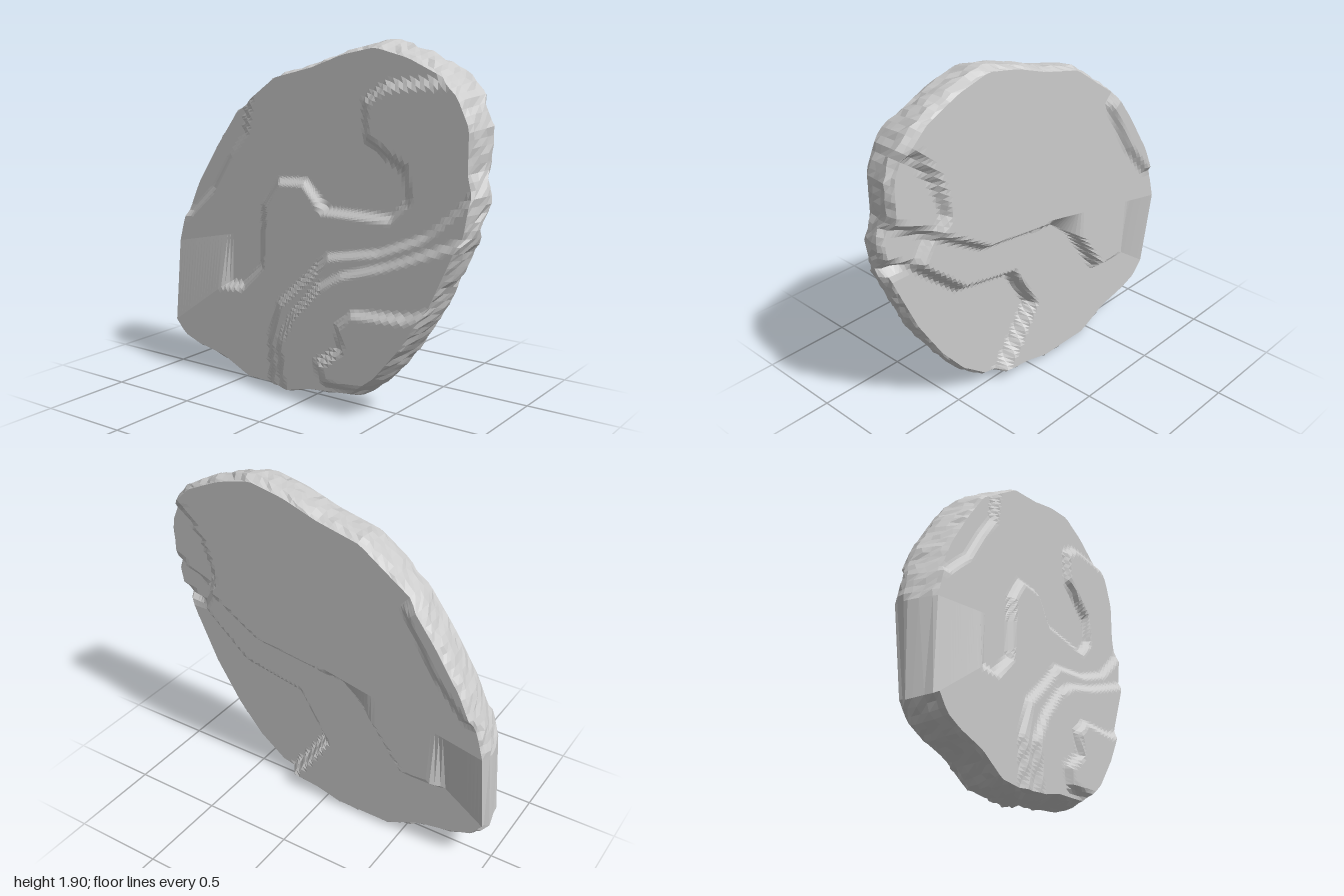
import * as THREE from 'three';

const vec = (list) => list.map(([x, y]) => new THREE.Vector2(x, y));

// Outline of the slab, counter-clockwise
const OUTLINE = vec([[-1, 0.25], [-0.93, 0.17], [-0.82, 0.13], [-0.62, 0.09], [-0.43, 0], [-0.1, 0], [0.05, 0.04],
  [0.33, 0.07], [0.5, 0.2], [0.65, 0.38], [0.8, 0.62], [0.9, 0.84], [0.97, 1.0], [1, 1.18], [0.97, 1.3],
  [0.97, 1.53], [0.9, 1.68], [0.8, 1.77], [0.6, 1.86], [0.4, 1.91], [0.2, 1.87], [0, 1.8], [-0.25, 1.74],
  [-0.42, 1.62], [-0.55, 1.53], [-0.7, 1.33], [-0.85, 1.1], [-0.95, 0.88], [-1, 0.7]]);

// Terrace regions: closed outlines, reaching past the rim, with the height each one adds to z
const FRONT_STEPS = [
  { dz: -0.035, pts: vec([[-1.4, 0.68], [-0.92, 0.62], [-0.72, 0.54], [-0.45, 0.55], [-0.32, 0.68], [-0.3, 1.02],
    [-0.2, 1.16], [-0.03, 1.17], [0.1, 1.03], [0.5, 1.03], [0.6, 1.13], [0.58, 1.28], [0.35, 1.42], [0.34, 1.6],
    [0.46, 1.68], [0.78, 1.71], [1.1, 1.8], [0.8, 2.4], [-1.4, 2.4]]) },
  { dz: -0.025, pts: vec([[-1.4, 0.85], [-0.85, 0.92], [-0.68, 1.08], [-0.55, 1.28], [-0.45, 1.4], [-0.4, 1.75], [-1, 2.2]]) },
  { dz: 0.03, pts: vec([[-0.2, -0.4], [-0.24, 0.3], [-0.18, 0.5], [0.02, 0.68], [0.14, 0.8], [0.45, 0.86],
    [0.72, 0.97], [0.95, 1.17], [1.5, 1.5], [1.5, -0.4]]) },
  { dz: 0.03, pts: vec([[-0.1, -0.4], [-0.16, 0.3], [-0.06, 0.47], [0.1, 0.64], [0.24, 0.72], [0.5, 0.8],
    [0.8, 0.92], [1.5, 1.2], [1.5, -0.4]]) },
  { dz: 0.035, pts: vec([[0.15, 0.14], [0.12, 0.24], [0.27, 0.34], [0.24, 0.46], [0.33, 0.54], [0.66, 0.57],
    [1, 0.7], [0.8, 0.45], [0.45, 0.15]]) },
];
const BACK_STEPS = [
  { dz: 0.06, pts: vec([[-1.5, 0.47], [-0.93, 0.45], [-0.5, 0.45], [-0.26, 0.78], [-0.13, 0.89], [0.4, 0.96],
    [0.76, 1.18], [1.5, 1.6], [1.5, -0.5], [-1.5, -0.5]].reverse()) },
  { dz: 0.07, pts: vec([[0.27, -0.4], [0.25, 0.06], [0.12, 0.23], [0, 0.42], [0.16, 0.68], [0.52, 0.75],
    [0.8, 1.0], [1.5, 1.3], [1.5, -0.4]]) },
  { dz: 0.045, pts: vec([[0.8, 1.0], [0.66, 1.25], [0.72, 1.45], [0.84, 1.62], [1.5, 1.7], [1.5, 1.0]]) },
  { dz: -0.03, pts: vec([[-1.3, 0.9], [-0.85, 0.95], [-0.68, 1.15], [-0.5, 1.45], [-0.8, 1.7]]) },
];

// Signed distance to a closed outline, positive inside
function inside(pts, x, y) {
  let best = Infinity, sign = -1;
  for (let i = 0, j = pts.length - 1; i < pts.length; j = i++) {
    const a = pts[j], b = pts[i], ex = b.x - a.x, ey = b.y - a.y;
    const t = THREE.MathUtils.clamp(((x - a.x) * ex + (y - a.y) * ey) / (ex * ex + ey * ey), 0, 1);
    best = Math.min(best, Math.hypot(x - a.x - ex * t, y - a.y - ey * t));
    if ((a.y > y) !== (b.y > y) && x < a.x + ((y - a.y) / ey) * ex) sign = -sign;
  }
  return best * sign;
}

function terrace(base, steps, x, y) {
  return steps.reduce((z, s) => z + s.dz * THREE.MathUtils.smoothstep(inside(s.pts, x, y), -0.025, 0.025), base);
}
const frontZ = (x, y) => terrace(0.093, FRONT_STEPS, x, y);
const backZ = (x, y) => terrace(-0.16, BACK_STEPS, x, y);

function seeded(seed) {
  return () => {
    seed = (seed * 16807) % 2147483647;
    return seed / 2147483647;
  };
}

function createSlab() {
  const N = 144, RINGS = 44, CX = 0, CY = 0.95;
  const random = seeded(41);
  const rim = new THREE.Shape(OUTLINE).getSpacedPoints(N).slice(0, N);
  // Rim rows: share of the depth from front to back, and inward offset
  const rimRows = [[0.12, 0.03], [0.35, 0.016], [0.58, 0.006], [0.78, 0], [0.92, 0.012]];
  const frontInset = 0.048, backInset = 0.03;
  const pos = [], index = [];
  let rows = 0;

  const addFace = (height, inset, order) => {
    for (const k of order) {
      for (const p of rim) {
        const s = (k / RINGS) * (1 - inset);
        const x = CX + (p.x - CX) * s, y = CY + (p.y - CY) * s;
        pos.push(x, y, height(x, y));
      }
      rows++;
    }
  };
  const outward = Array.from({ length: RINGS + 1 }, (_, k) => k);

  // Front face, rough rim, back face
  addFace(frontZ, frontInset, outward);
  for (const [t, inset] of rimRows) {
    for (const p of rim) {
      const s = 1 - inset - random() * 0.016;
      const x = CX + (p.x - CX) * s, y = CY + (p.y - CY) * s;
      const depth = t + (random() - 0.5) * 0.1;
      pos.push(x, y, THREE.MathUtils.lerp(frontZ(x, y), backZ(x, y), depth));
    }
    rows++;
  }
  addFace(backZ, backInset, outward.slice().reverse());

  for (let r = 0; r < rows - 1; r++) {
    for (let j = 0; j < N; j++) {
      const a = r * N + j, b = r * N + ((j + 1) % N), c = a + N, d = b + N;
      if (r > 0) index.push(a, d, b);
      if (r < rows - 2) index.push(a, c, d);
      else index.push(a, c, b);
    }
  }
  const geometry = new THREE.BufferGeometry();
  geometry.setAttribute('position', new THREE.Float32BufferAttribute(pos, 3));
  geometry.setIndex(index);
  geometry.computeVertexNormals();
  return geometry;
}

export function createModel() {
  const group = new THREE.Group();
  group.name = 'stoneSlab';
  const material = new THREE.MeshStandardMaterial({ color: 0xcccccc, flatShading: true });
  const slab = new THREE.Mesh(createSlab(), material);
  slab.name = 'terracedSlab';
  group.add(slab);
  // Rest on the ground, centred
  const box = new THREE.Box3().setFromObject(group);
  slab.position.set(-(box.min.x + box.max.x) / 2, -box.min.y, 0);
  return group;
}
